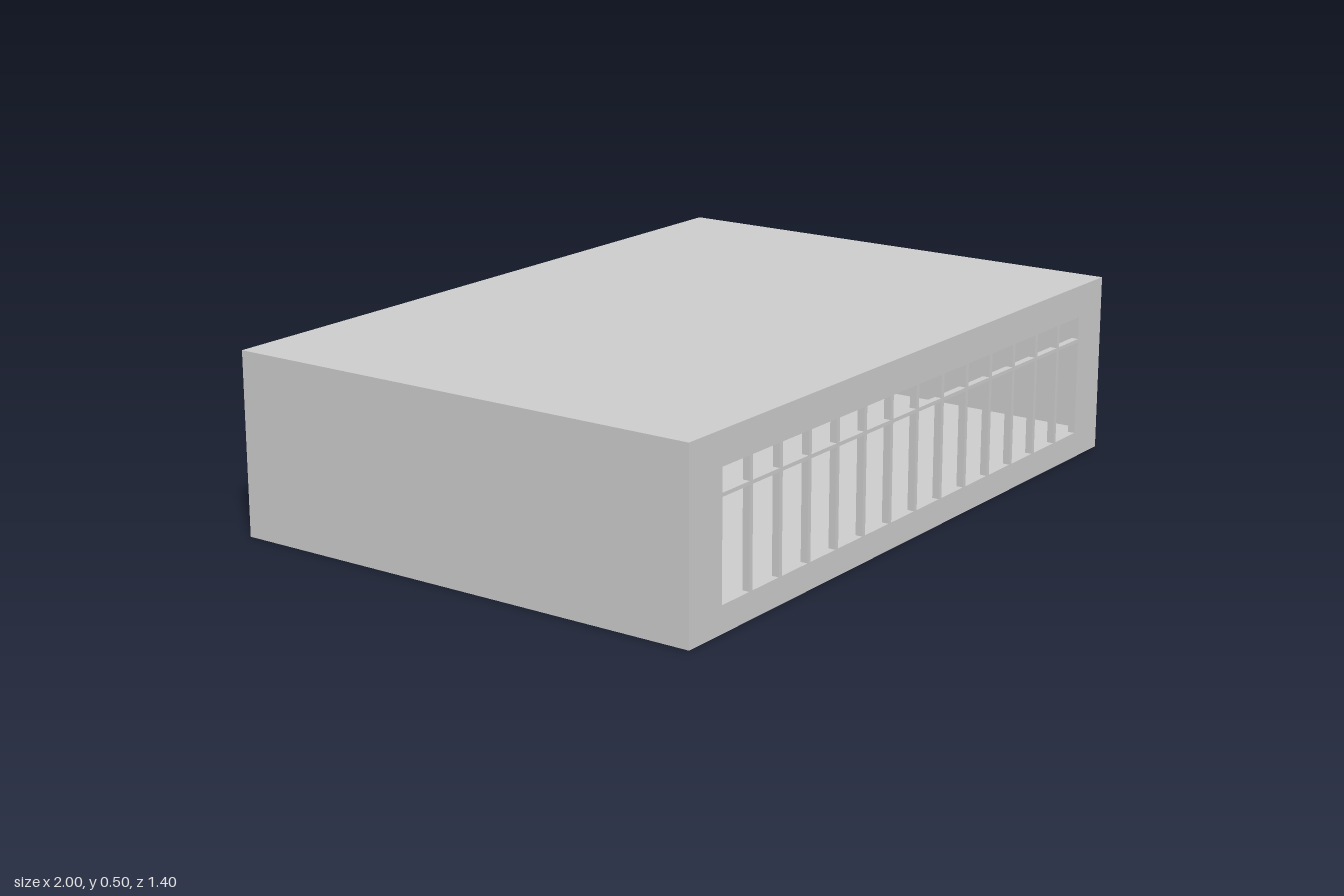
import * as THREE from 'three';

const W = 2, H = 0.5, D = 1.4;      // overall size
const WALL = 0.07, FRONT = 0.02;    // wall and facade thickness
const PANES = 14, PITCH = 0.125, PANE_W = 0.112;

const material = new THREE.MeshStandardMaterial({ color: 0xcccccc });

// Counter-clockwise rectangle points
function rect(x0, y0, x1, y1) {
  return [[x0, y0], [x1, y0], [x1, y1], [x0, y1]].map(([x, y]) => new THREE.Vector2(x, y));
}

// A full-width slab of the building between two depths, pierced by holes
function slab(name, zBack, zFront, holes) {
  const shape = new THREE.Shape(rect(-W / 2, 0, W / 2, H));
  for (const hole of holes) shape.holes.push(new THREE.Path(rect(...hole).reverse()));
  const geometry = new THREE.ExtrudeGeometry(shape, { depth: zFront - zBack, bevelEnabled: false });
  geometry.translate(0, 0, zBack);
  const mesh = new THREE.Mesh(geometry, material);
  mesh.name = name;
  return mesh;
}

export function createModel() {
  const group = new THREE.Group();
  group.name = 'hollowBuilding';

  // Facade: a row of tall panes with small transom lights above
  const windows = [];
  for (let i = 0; i < PANES; i++) {
    const x = (i - (PANES - 1) / 2) * PITCH;
    const x0 = x - PANE_W / 2, x1 = x + PANE_W / 2;
    windows.push([x0, 0.072, x1, 0.337], [x0, 0.347, x1, 0.41]);
  }
  group.add(slab('windowFacade', D / 2 - FRONT, D / 2, windows));

  // Floor, side walls and roof around the room
  const room = [-W / 2 + WALL, WALL, W / 2 - WALL, H - WALL];
  group.add(slab('roomShell', -D / 2 + WALL, D / 2 - FRONT, [room]));

  // Back wall with a doorway recessed into its inner face
  const doorway = [-0.1, WALL, 0.1, 0.355];
  group.add(slab('backWallInner', -D / 2 + 0.03, -D / 2 + WALL, [doorway]));
  group.add(slab('backWallOuter', -D / 2, -D / 2 + 0.03, []));

  return group;
}
